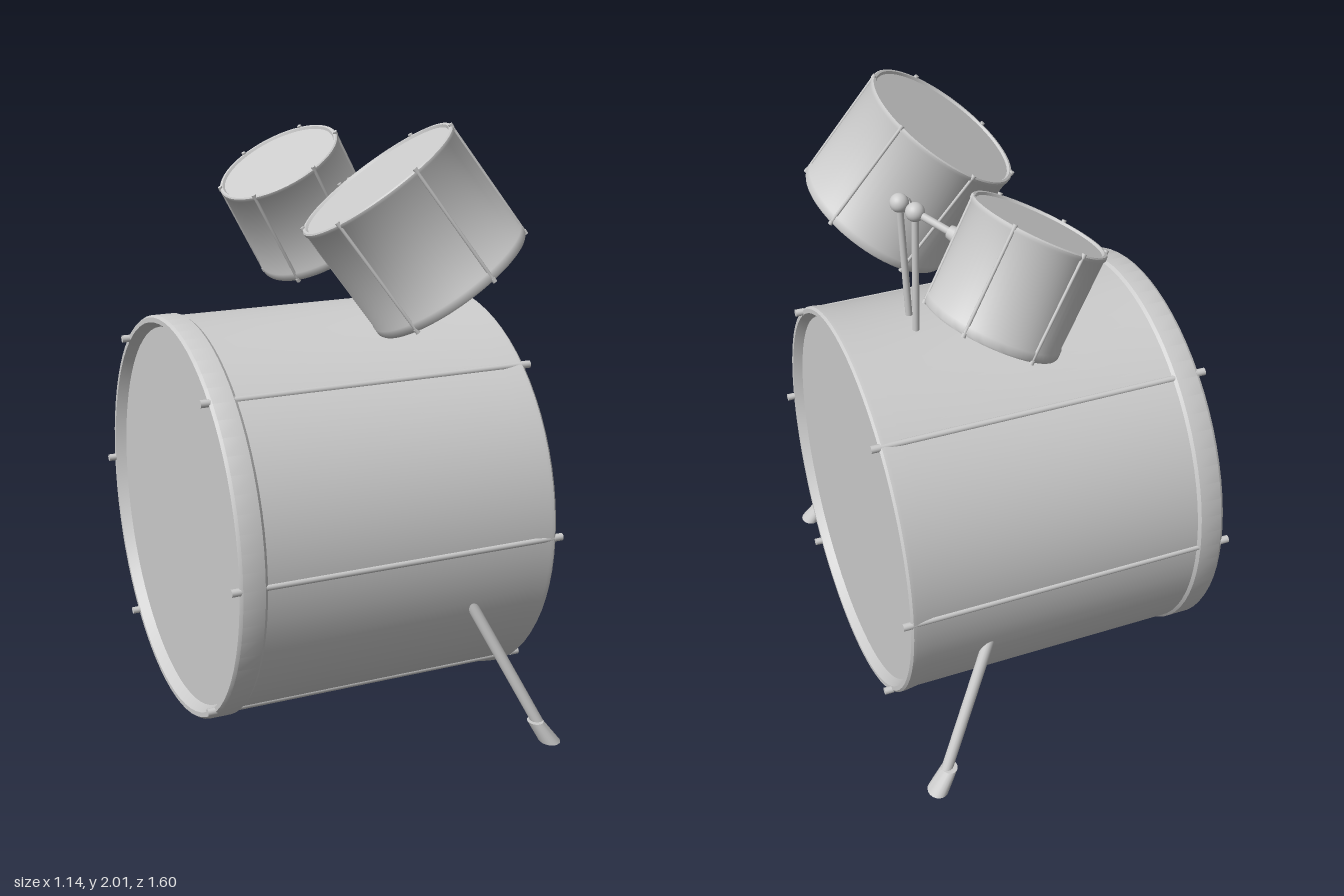
import * as THREE from 'three';
import { toCreasedNormals } from 'three/addons/utils/BufferGeometryUtils.js';

const mat = new THREE.MeshStandardMaterial({ color: 0xcccccc });
const V = (x, y, z) => new THREE.Vector3(x, y, z);
const rad = THREE.MathUtils.degToRad;

function add(parent, name, geometry, pos) {
  const m = new THREE.Mesh(geometry, mat);
  m.name = name;
  if (pos) m.position.copy(pos);
  parent.add(m);
  return m;
}

// Round bar between two points
function bar(parent, name, a, b, r0, r1 = r0) {
  const d = b.clone().sub(a);
  const m = add(parent, name, new THREE.CylinderGeometry(r1, r0, d.length(), 14), a.clone().lerp(b, 0.5));
  m.quaternion.setFromUnitVectors(V(0, 1, 0), d.normalize());
  return m;
}

// Turned body from [radius, height] pairs
function turned(parent, name, profile) {
  const g = new THREE.LatheGeometry(profile.map(([x, y]) => new THREE.Vector2(x, y)), 72);
  return add(parent, name, toCreasedNormals(g, rad(35)));
}

// Tension rods parallel to the drum's own axis, with a small knob at each end
function tensionRods(parent, r, y0, y1, thick, knob, knobLength, angles) {
  for (const deg of angles) {
    const c = r * Math.cos(rad(deg)), s = r * Math.sin(rad(deg));
    bar(parent, 'tensionRod', V(c, y0, s), V(c, y1, s), thick);
    for (const y of [y0, y1 - knobLength])
      bar(parent, 'rodKnob', V(c, y, s), V(c, y + knobLength, s), knob);
  }
}

function bassDrum() {
  const g = new THREE.Group();
  g.name = 'bassDrum';
  turned(g, 'bassShell', [
    [0, -0.515], [0.64, -0.515], [0.65, -0.535], [0.658, -0.55], [0.674, -0.55], [0.681, -0.54],
    [0.681, -0.468], [0.673, -0.458], [0.672, 0.47], [0.679, 0.525], [0.679, 0.537],
    [0.672, 0.545], [0.657, 0.545], [0.649, 0.532], [0.64, 0.515], [0, 0.515],
  ]);
  const side = [90 - 51, 90, 90 + 51];
  tensionRods(g, 0.669, -0.575, 0.57, 0.0105, 0.0125, 0.03, [...side, ...side.map(a => a + 180)]);
  g.rotation.z = -Math.PI / 2;
  g.position.y = 0.686;
  return g;
}

// Tilted tom given the centres of its two heads
function tom(name, bottom, top, r, turn) {
  const g = new THREE.Group();
  g.name = name;
  const n = top.clone().sub(bottom);
  const h = n.length() / 2;
  n.normalize();
  const u = V(1, 0, 0).addScaledVector(n, -n.x).normalize();
  g.quaternion.setFromRotationMatrix(new THREE.Matrix4().makeBasis(u, n, u.clone().cross(n)));
  g.position.copy(bottom).lerp(top, 0.5);
  turned(g, 'tomShell', [
    [0, 0.012 - h], [r - 0.02, 0.012 - h], [r - 0.014, -h], [r - 0.004, -h], [r, 0.006 - h],
    [r, 0.03 - h], [r - 0.004, 0.036 - h], [r - 0.004, h - 0.02], [r, h - 0.014],
    [r, h - 0.004], [r - 0.004, h], [r - 0.012, h], [r - 0.017, h - 0.008], [0, h - 0.008],
  ]);
  tensionRods(g, r - 0.003, -h - 0.006, h + 0.006, 0.0055, 0.0075, 0.014,
    [0, 1, 2, 3, 4, 5].map(i => 30 + i * 60 + turn));
  return g;
}

// Upright post, ball joint and arm that carry a tom
function holder(name, base, joint, mount) {
  const g = new THREE.Group();
  g.name = name;
  bar(g, 'post', base, joint, 0.0115);
  bar(g, 'arm', joint, mount, 0.0125);
  add(g, 'jointBall', new THREE.SphereGeometry(0.031, 24, 16), joint);
  const d = mount.clone().sub(joint).normalize();
  bar(g, 'mountCollar', mount.clone().addScaledVector(d, -0.018), mount.clone().addScaledVector(d, 0.03), 0.022, 0.03);
  return g;
}

// Splayed leg with a slanted rubber foot cut flat at the floor
function leg(side) {
  const g = new THREE.Group();
  g.name = side > 0 ? 'frontLeg' : 'backLeg';
  bar(g, 'legBar', V(0.255, 0.505, side * 0.62), V(0.47, 0.06, side * 0.748), 0.019);
  const foot = new THREE.CylinderGeometry(0.031, 0.041, 0.074, 20).toNonIndexed();
  const p = foot.attributes.position;
  for (let i = 0; i < p.count; i++) {
    const y = p.getY(i);
    p.setX(i, p.getX(i) * 0.85 - y * 0.65);
    p.setZ(i, p.getZ(i) - side * y * 0.2);
  }
  add(g, 'foot', toCreasedNormals(foot, rad(35)), V(0.478, 0.043, side * 0.753));
  return g;
}

export function createModel() {
  const model = new THREE.Group();
  model.name = 'drumSet';
  model.add(
    bassDrum(),
    tom('largeTom', V(0.26, 1.513, 0.44), V(0.03, 1.845, 0.365), 0.281, 0),
    tom('smallTom', V(0.147, 1.503, -0.35), V(-0.025, 1.812, -0.318), 0.224, -13),
    holder('largeTomHolder', V(0.28, 1.33, 0.04), V(0.3, 1.772, 0.038), V(0.252, 1.71, 0.14)),
    holder('smallTomHolder', V(0.29, 1.33, -0.053), V(0.28, 1.782, -0.055), V(0.192, 1.74, -0.16)),
    leg(1),
    leg(-1),
  );
  return model;
}
